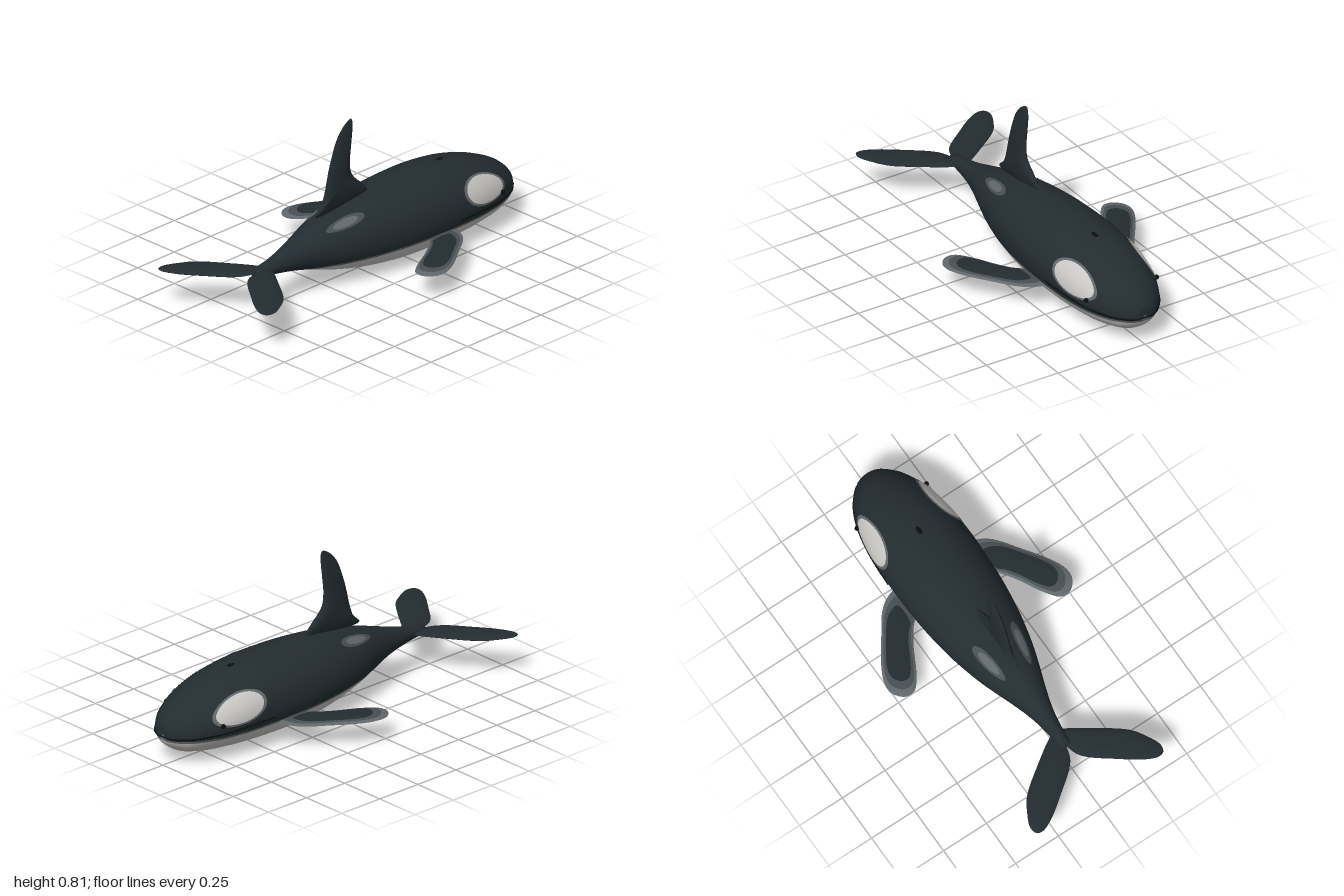
import * as THREE from 'three';

const mat = (color, side = THREE.FrontSide) => new THREE.MeshStandardMaterial({ color, side });
const DARK = mat(0x232c30), BLEND = mat(0x60676a), PALE = mat(0xcac8c4);
const GREY = mat(0x474e51), BLACK = mat(0x0b0d0e);

// Body sections from tail to snout: z, top, bottom, half width
const SECTIONS = [
  [0.70, 0.225, 0.18, 0.03], [0.6, 0.243, 0.166, 0.038], [0.5, 0.27, 0.15, 0.056],
  [0.4, 0.302, 0.128, 0.086], [0.3, 0.333, 0.098, 0.121], [0.2, 0.358, 0.068, 0.154],
  [0.1, 0.377, 0.044, 0.18], [0, 0.391, 0.026, 0.201], [-0.15, 0.403, 0.007, 0.222],
  [-0.3, 0.407, 0, 0.233], [-0.45, 0.404, 0.003, 0.236], [-0.6, 0.387, 0.011, 0.23],
  [-0.7, 0.366, 0.02, 0.217], [-0.8, 0.335, 0.031, 0.194], [-0.9, 0.29, 0.052, 0.149],
  [-0.95, 0.256, 0.077, 0.11], [-0.985, 0.222, 0.108, 0.072], [-1, 0.195, 0.137, 0.04],
];
const curves = [0, 1, 2, 3].map(k => new THREE.SplineCurve(SECTIONS.map((s, i) => new THREE.Vector2(i, s[k]))));

function section(u) {
  const [z, top, bottom, w] = curves.map(c => c.getPoint(u).y);
  return { z, w, cy: (top + bottom) / 2, h: (top - bottom) / 2 };
}
// Section parameter at a given z
function paramAt(z) {
  let a = 0, b = 1;
  for (let i = 0; i < 30; i++) {
    const m = (a + b) / 2;
    if (section(m).z > z) a = m; else b = m;
  }
  return (a + b) / 2;
}
const onSection = (s, angle, k = 1) =>
  new THREE.Vector3(s.w * k * Math.cos(angle), s.cy + s.h * k * Math.sin(angle), s.z);
const angleAt = (s, y) => Math.asin(THREE.MathUtils.clamp((y - s.cy) / s.h, -1, 1));

// Surface from rows of points, facing (row direction) x (column direction)
function grid(rows, flip = false) {
  const n = rows[0].length, index = [];
  for (let i = 0; i < rows.length - 1; i++) {
    for (let j = 0; j < n - 1; j++) {
      const a = i * n + j, b = a + n, c = a + 1, d = b + 1;
      if (flip) index.push(a, c, b, b, c, d); else index.push(a, b, c, b, d, c);
    }
  }
  const g = new THREE.BufferGeometry().setFromPoints(rows.flat());
  g.setIndex(index);
  g.computeVertexNormals();
  return g;
}
function mirrored(geometry) {
  const g = geometry.clone().scale(-1, 1, 1), ix = g.index.array;
  for (let i = 0; i < ix.length; i += 3) [ix[i], ix[i + 1]] = [ix[i + 1], ix[i]];
  g.computeVertexNormals();
  return g;
}

// Lengthwise strip of the body between two angle rules, with closed ends
function bodyStrip(lo, hi, columns, zStart = 0.7) {
  const rows = [], u0 = zStart < 0.7 ? paramAt(zStart) : 0, N = 72;
  const row = (u, k) => {
    const s = section(u), a = lo(s), b = hi(s);
    return Array.from({ length: columns + 1 }, (_, j) => onSection(s, a + (b - a) * j / columns, k));
  };
  if (u0 === 0) rows.push(row(0, 0));
  for (let i = 0; i <= N; i++) rows.push(row(u0 + (1 - u0) * i / N, 1));
  rows.push(row(1, 0));
  return grid(rows);
}

// Oval marking lying just above the body surface
function marking(zc, rz, ac, ra, from, to, lift) {
  const rows = [];
  for (let i = 0; i <= 8; i++) {
    const r = from + (to - from) * i / 8;
    rows.push(Array.from({ length: 41 }, (_, j) => {
      const t = j / 40 * Math.PI * 2;
      return onSection(section(paramAt(zc - rz * r * Math.cos(t))), ac + ra * r * Math.sin(t), lift);
    }));
  }
  return grid(rows);
}

// One face of a lens-shaped fin, between two scales of its outline
function finFace(outline, centre, half, place, side, from = 1, to = 0) {
  const curve = new THREE.CatmullRomCurve3(outline.map(p => new THREE.Vector3(p[0], p[1], 0)), true, 'centripetal');
  const edge = curve.getPoints(64), rows = [];
  for (let i = 0; i <= 12; i++) {
    const r = from + (to - from) * i / 12;
    const t = side * half * Math.pow(1 - Math.pow(r, 3), 0.8);
    rows.push(edge.map(p => place(centre[0] + (p.x - centre[0]) * r, centre[1] + (p.y - centre[1]) * r, t)));
  }
  return grid(rows, side < 0);
}

const DORSAL = [[0.29, 0.365], [0.245, 0.417], [0.19, 0.61], [0.14, 0.735], [0.085, 0.795], [0.045, 0.812],
  [0.035, 0.79], [0.043, 0.695], [0.053, 0.59], [0.04, 0.515], [-0.068, 0.395], [0.02, 0.37], [0.16, 0.362]];
const PECTORAL = [[0.2, -0.45], [0.26, -0.44], [0.32, -0.4], [0.41, -0.28], [0.5, -0.145], [0.53, -0.07],
  [0.525, -0.015], [0.48, 0.033], [0.43, 0.033], [0.375, -0.03], [0.3, -0.165], [0.24, -0.25], [0.2, -0.29]];
const FLUKE = [[0, 0.61], [0.03, 0.615], [0.17, 0.705], [0.3, 0.805], [0.345, 0.87], [0.38, 0.95],
  [0.37, 0.99], [0.34, 0.998], [0.28, 0.975], [0.16, 0.89], [0.03, 0.78], [0, 0.7]];

export function createModel() {
  const model = new THREE.Group();
  const add = (name, geometry, material) => {
    const mesh = new THREE.Mesh(geometry, material);
    mesh.name = name;
    model.add(mesh);
    return mesh;
  };
  const addPair = (name, geometry, material) => {
    add('left' + name, geometry, material);
    add('right' + name, mirrored(geometry), material);
  };

  // Dark back, pale belly and the soft line between them
  const HIGH = 0.142, LOW = 0.13;
  add('back', bodyStrip(s => angleAt(s, HIGH), s => Math.PI - angleAt(s, HIGH), 48), DARK);
  add('belly', bodyStrip(s => Math.PI - angleAt(s, LOW), s => 2 * Math.PI + angleAt(s, LOW), 32, 0.46), PALE);
  addPair('FlankBlend', bodyStrip(s => angleAt(s, LOW), s => angleAt(s, HIGH), 2, 0.5), BLEND);

  // Eye patches and saddle patches, each with a softer rim
  addPair('EyePatch', marking(-0.675, 0.155, 0.41, 0.44, 0, 0.88, 1.01), PALE);
  addPair('EyePatchRim', marking(-0.675, 0.155, 0.41, 0.44, 0.88, 1, 1.01), BLEND);
  addPair('SaddlePatch', marking(0.18, 0.11, 0.93, 0.2, 0, 0.65, 1.012), BLEND);
  addPair('SaddlePatchRim', marking(0.18, 0.11, 0.93, 0.2, 0.65, 1, 1.012), GREY);

  // Eyes
  for (const side of [-1, 1]) {
    const eye = add(side > 0 ? 'leftEye' : 'rightEye', new THREE.SphereGeometry(0.012, 16, 12), BLACK);
    eye.position.set(side * 0.203, 0.207, -0.79);
  }

  // Mouth line running around the snout
  const half = [[-0.475, 0.172], [-0.6, 0.17], [-0.72, 0.165], [-0.82, 0.16], [-0.9, 0.155], [-0.95, 0.152], [-0.985, 0.15]]
    .map(([z, y]) => { const s = section(paramAt(z)); return onSection(s, angleAt(s, y)); });
  const path = [...half, new THREE.Vector3(0, 0.15, -0.998),
    ...half.slice().reverse().map(p => new THREE.Vector3(-p.x, p.y, p.z))];
  add('mouthLine', new THREE.TubeGeometry(new THREE.CatmullRomCurve3(path), 80, 0.005, 6), BLACK);

  // Blowhole
  const blowhole = add('blowhole', new THREE.SphereGeometry(1, 16, 10), BLACK);
  blowhole.scale.set(0.011, 0.006, 0.024);
  blowhole.position.set(0, 0.394, -0.555);

  // Dorsal fin
  const upright = (z, y, t) => new THREE.Vector3(t, y, z);
  for (const side of [1, -1]) {
    add(side > 0 ? 'dorsalFinLeft' : 'dorsalFinRight', finFace(DORSAL, [0.13, 0.5], 0.022, upright, side), DARK);
  }

  // Pectoral fins: dark above with a paler rim, pale below
  const flat = y => (x, z, t) => new THREE.Vector3(x, y + t, z);
  const pectoral = (side, from, to) => finFace(PECTORAL, [0.37, -0.2], 0.018, flat(0.128), side, from, to);
  addPair('PectoralFinRim', pectoral(1, 1, 0.86), BLEND);
  addPair('PectoralFinBlend', pectoral(1, 0.86, 0.7), GREY);
  addPair('PectoralFinTop', pectoral(1, 0.7, 0), DARK);
  addPair('PectoralFinUnderside', pectoral(-1, 1, 0), PALE);

  // Tail flukes
  for (const side of [1, -1]) {
    addPair(side > 0 ? 'FlukeTop' : 'FlukeUnderside', finFace(FLUKE, [0.2, 0.82], 0.015, flat(0.203), side), DARK);
  }
  return model;
}
